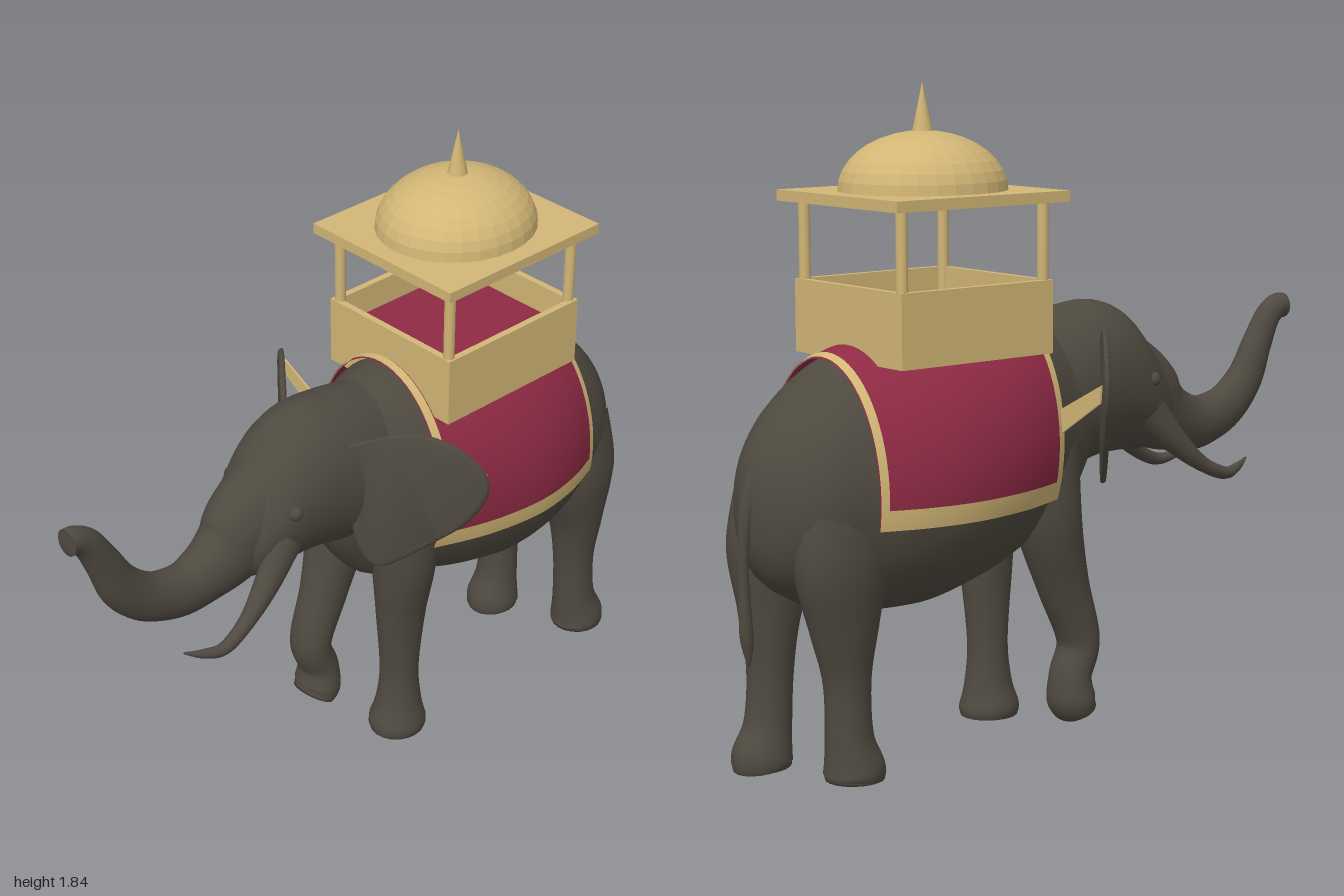
import * as THREE from 'three';
import { toCreasedNormals } from 'three/addons/utils/BufferGeometryUtils.js';

const TAU = Math.PI * 2;

// Catmull-Rom interpolation through rows of numbers, t measured in row indices
function interp(rows, t) {
  const last = rows.length - 1;
  const i = Math.min(last - 1, Math.max(0, Math.floor(t)));
  const f = t - i;
  const [p0, p1, p2, p3] = [i - 1, i, i + 1, i + 2].map(k => rows[Math.min(last, Math.max(0, k))]);
  return p1.map((_, c) => {
    const m1 = (p2[c] - p0[c]) / 2, m2 = (p3[c] - p1[c]) / 2, d = p2[c] - p1[c];
    return p1[c] + f * (m1 + f * (3 * d - 2 * m1 - m2 + f * (m1 + m2 - 2 * d)));
  });
}

// Surface over u, v in 0..1; closed in v when wrap is set
function grid(fn, nu, nv, wrap) {
  const pos = [], idx = [], cols = wrap ? nv : nv + 1;
  for (let i = 0; i <= nu; i++)
    for (let j = 0; j < cols; j++) pos.push(...fn(i / nu, j / nv));
  for (let i = 0; i < nu; i++)
    for (let j = 0; j < nv; j++) {
      const k = (j + 1) % cols, a = i * cols + j, b = i * cols + k;
      idx.push(a, b, b + cols, a, b + cols, a + cols);
    }
  const g = new THREE.BufferGeometry();
  g.setAttribute('position', new THREE.Float32BufferAttribute(pos, 3));
  g.setIndex(idx);
  g.computeVertexNormals();
  return g;
}

// Limb along rows [x, y, z, half width, half depth], capped at its far end
function limb(rows, nv = 20) {
  const n = (rows.length - 1) * 7, last = rows.length - 1, X = new THREE.Vector3(1, 0, 0);
  return grid((u, v) => {
    const t = Math.min(1, u * n / (n - 1)) * last;
    const [x, y, z, a, b] = interp(rows, t);
    const p = interp(rows, Math.max(0, t - 0.05)), q = interp(rows, Math.min(last, t + 0.05));
    const T = new THREE.Vector3(0, q[1] - p[1], q[2] - p[2]).normalize();
    const N = T.cross(X), k = u === 1 ? 0 : 1, c = Math.cos(v * TAU) * a * k, s = Math.sin(v * TAU) * b * k;
    return [x + c, y + N.y * s, z + N.z * s];
  }, n, nv, true);
}

// Elliptical section of rows [z, top, bottom, half width]; angle 0 is the top
function section(rows, t, angle, off = 0) {
  const [z, top, bot, w] = interp(rows, t);
  const h = (top - bot) / 2;
  return [(w + off) * Math.sin(angle), (top + bot) / 2 + (h + off) * Math.cos(angle), z];
}
const hull = rows => grid((u, v) => section(rows, u * (rows.length - 1), Math.PI / 2 + v * TAU),
  (rows.length - 1) * 5, 40, true);

const BODY = [
  [0.14, 1.12, 0.80, 0.10], [0.10, 1.15, 0.68, 0.15], [0, 1.17, 0.55, 0.19],
  [-0.105, 1.19, 0.52, 0.235], [-0.27, 1.19, 0.46, 0.285], [-0.45, 1.17, 0.42, 0.305],
  [-0.60, 1.14, 0.42, 0.285], [-0.73, 1.10, 0.43, 0.24], [-0.84, 1.02, 0.48, 0.205],
  [-0.92, 0.93, 0.54, 0.14], [-0.965, 0.84, 0.62, 0.06], [-0.975, 0.74, 0.70, 0.004],
];
const HEAD = [
  [0.50, 0.90, 0.82, 0.03], [0.45, 0.98, 0.755, 0.095], [0.38, 1.08, 0.745, 0.13], [0.30, 1.165, 0.75, 0.15],
  [0.20, 1.20, 0.745, 0.165], [0.08, 1.19, 0.72, 0.175], [-0.05, 1.17, 0.70, 0.16],
];
const TRUNK = [
  [0, 0.96, 0.30, 0.12, 0.15], [0, 0.90, 0.40, 0.105, 0.14], [0, 0.845, 0.47, 0.088, 0.115], [0, 0.81, 0.55, 0.072, 0.092],
  [0, 0.795, 0.64, 0.06, 0.08], [0, 0.828, 0.75, 0.052, 0.07], [0, 0.905, 0.835, 0.046, 0.062],
  [0, 1.005, 0.886, 0.041, 0.05], [0, 1.085, 0.93, 0.036, 0.042], [0, 1.118, 0.97, 0.036, 0.038], [0, 1.12, 0.995, 0.037, 0.038],
];
const LEGS = {
  leftFrontLeg: [[0.12, 0.85, -0.08, 0.09, 0.12], [0.13, 0.62, -0.08, 0.09, 0.10], [0.12, 0.42, -0.08, 0.066, 0.08],
    [0.115, 0.22, -0.08, 0.057, 0.06], [0.115, 0.10, -0.078, 0.066, 0.07], [0.115, 0.03, -0.075, 0.084, 0.088], [0.115, 0, -0.075, 0.08, 0.085]],
  rightFrontLeg: [[-0.12, 0.85, -0.08, 0.09, 0.12], [-0.13, 0.62, -0.06, 0.09, 0.10], [-0.125, 0.42, 0.0, 0.07, 0.078],
    [-0.125, 0.25, 0.058, 0.066, 0.06], [-0.125, 0.15, 0.03, 0.066, 0.058], [-0.125, 0.08, 0.032, 0.076, 0.066], [-0.125, 0.045, 0.05, 0.07, 0.055]],
  leftHindLeg: [[0.12, 0.80, -0.78, 0.09, 0.13], [0.135, 0.60, -0.80, 0.095, 0.14], [0.13, 0.42, -0.82, 0.078, 0.09],
    [0.125, 0.27, -0.825, 0.062, 0.066], [0.125, 0.12, -0.835, 0.064, 0.066], [0.125, 0.03, -0.855, 0.08, 0.085], [0.125, 0, -0.855, 0.076, 0.08]],
  rightHindLeg: [[-0.12, 0.80, -0.76, 0.09, 0.13], [-0.135, 0.60, -0.77, 0.095, 0.14], [-0.13, 0.42, -0.76, 0.078, 0.10],
    [-0.125, 0.27, -0.75, 0.062, 0.066], [-0.125, 0.12, -0.745, 0.064, 0.066], [-0.125, 0.03, -0.73, 0.08, 0.085], [-0.125, 0, -0.73, 0.076, 0.08]],
};
const EAR = [[0.14, 1.10], [0.26, 1.145], [0.35, 1.115], [0.41, 1.045], [0.42, 0.97], [0.38, 0.88],
  [0.315, 0.81], [0.24, 0.74], [0.195, 0.72], [0.16, 0.79], [0.14, 0.96]];

// Ear plate swept back as it leaves the head
function earGeometry(side) {
  const shape = new THREE.Shape();
  shape.moveTo(side * EAR[0][0], EAR[0][1]);
  shape.splineThru([...EAR.slice(1), EAR[0]].map(p => new THREE.Vector2(side * p[0], p[1])));
  const g = new THREE.ExtrudeGeometry(shape, { depth: 0.006, bevelSize: 0.008, bevelThickness: 0.008, bevelSegments: 3, curveSegments: 48 });
  const p = g.attributes.position;
  for (let i = 0; i < p.count; i++) p.setZ(i, p.getZ(i) + 0.13 - 0.82 * (Math.abs(p.getX(i)) - 0.14));
  return toCreasedNormals(g, 0.9);
}

// Cloth draped over the back: t runs along the body, edges given as heights (null = the spine)
function drape(t0, t1, side, yFrom, yTo, off) {
  const angle = (t, y) => {
    if (y === null) return 0;
    const [, top, bot] = interp(BODY, t);
    return Math.acos((y - (top + bot) / 2 ) / ((top - bot) / 2 + off));
  };
  return grid((u, v) => {
    const t = t0 + (t1 - t0) * u, a = angle(t, yFrom), b = angle(t, yTo);
    return section(BODY, t, side * (a + (b - a) * v), off);
  }, Math.max(3, Math.ceil((t1 - t0) * 6)), yFrom === null ? 20 : 4);
}

export function createModel() {
  const mat = (name, color) => Object.assign(new THREE.MeshStandardMaterial({ color }), { name });
  const hide = mat('greyHide', 0x4f4a40), gold = mat('gold', 0xd2b676), crimson = mat('crimsonCloth', 0x8e2a44);
  gold.side = crimson.side = THREE.DoubleSide;
  const model = new THREE.Group();
  model.name = 'elephantWithPavilion';
  const add = (name, geo, material, x = 0, y = 0, z = 0) => {
    const m = new THREE.Mesh(geo, material);
    m.name = name;
    m.position.set(x, y, z);
    model.add(m);
    return m;
  };

  // Elephant
  add('body', hull(BODY), hide);
  add('head', hull(HEAD), hide);
  add('trunk', limb(TRUNK, 24), hide);
  for (const [name, rows] of Object.entries(LEGS)) add(name, limb(rows), hide);
  add('tail', limb([[0, 0.86, -0.93, 0.03, 0.03], [0, 0.74, -0.972, 0.024, 0.022], [0, 0.60, -0.985, 0.014, 0.014],
    [0, 0.45, -0.982, 0.018, 0.018], [0, 0.39, -0.978, 0.018, 0.018], [0, 0.325, -0.974, 0.004, 0.004]], 10), hide);
  for (const s of [1, -1]) {
    const side = s > 0 ? 'left' : 'right';
    add(side + 'Ear', earGeometry(s), hide);
    add(side + 'Tusk', limb([[s * 0.10, 0.88, 0.34, 0.045, 0.06], [s * 0.12, 0.78, 0.43, 0.036, 0.04], [s * 0.138, 0.705, 0.52, 0.024, 0.024],
      [s * 0.148, 0.664, 0.61, 0.019, 0.019], [s * 0.137, 0.672, 0.675, 0.013, 0.013], [s * 0.12, 0.692, 0.728, 0.003, 0.003]], 12), hide);
    add(side + 'Eye', new THREE.SphereGeometry(0.022, 14, 10), hide, s * 0.133, 0.97, 0.335);

    // Saddle cloth and its gold border
    add(side + 'Cloth', drape(3, 7, s, null, 0.70, 0.014), crimson);
    add(side + 'ClothHem', drape(3, 7, s, 0.745, 0.69, 0.019), gold);
    add(side + 'ClothFrontTrim', drape(3, 3.17, s, null, 0.69, 0.019), gold);
    add(side + 'ClothBackTrim', drape(6.82, 7, s, null, 0.69, 0.019), gold);

    // Gold band from the cloth to the rear of the ear
    const band = new THREE.Shape([[0.24, 0.87], [0.41, 0.98], [0.415, 1.03], [0.24, 0.94]].map(p => new THREE.Vector2(s * p[0], p[1])));
    add(side + 'EarBand', new THREE.ExtrudeGeometry(band, { depth: 0.006, bevelEnabled: false }), gold, 0, 0, -0.116);
  }

  // Pavilion: low walls, cushion, posts, roof, dome and finial
  const cz = -0.39;
  for (const s of [1, -1]) {
    add('sideWall', new THREE.BoxGeometry(0.02, 0.2, 0.51), gold, s * 0.23, 1.2, cz);
    add('endWall', new THREE.BoxGeometry(0.44, 0.2, 0.02), gold, 0, 1.2, cz + s * 0.245);
    for (const e of [1, -1])
      add('post', new THREE.CylinderGeometry(0.016, 0.016, 0.31, 12), gold, s * 0.218, 1.355, cz + e * 0.237);
  }
  add('cushion', new THREE.BoxGeometry(0.44, 0.1, 0.47), crimson, 0, 1.165, cz);
  add('roof', new THREE.BoxGeometry(0.54, 0.03, 0.58), gold, 0, 1.525, cz);
  const dome = new THREE.SphereGeometry(1, 28, 9, 0, TAU, 0, Math.PI / 2).scale(0.218, 0.16, 0.237).toNonIndexed();
  dome.computeVertexNormals();
  add('dome', dome, gold, 0, 1.54, cz);
  add('finial', new THREE.ConeGeometry(0.03, 0.14, 16), gold, 0, 1.76, cz);
  return model;
}
